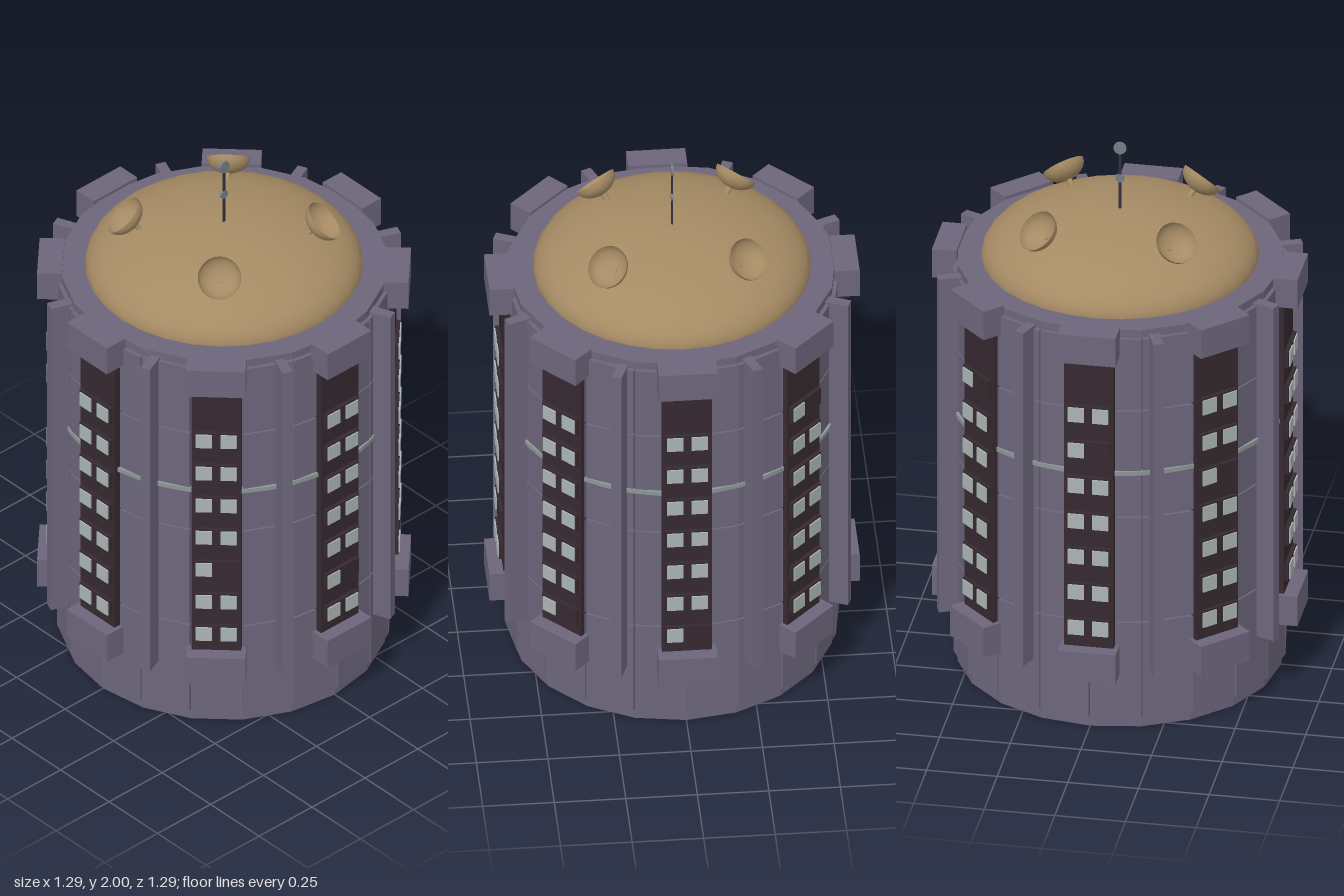
import * as THREE from 'three';
import { toCreasedNormals } from 'three/addons/utils/BufferGeometryUtils.js';

const material = (name, color, side = THREE.FrontSide) => {
  const m = new THREE.MeshStandardMaterial({ color, side });
  m.name = name;
  return m;
};

export function createModel() {
  const model = new THREE.Group();
  model.name = 'roundTower';

  const wall = material('mauve wall', 0x6d667c);
  const dark = material('dark recess', 0x35292f);
  const glass = material('pale glass', 0xaab5b4);
  const bronze = material('bronze', 0xa68b64, THREE.DoubleSide);
  const trim = material('grey trim', 0x8b9694);
  const mastColor = material('dark mast', 0x2f323e);
  const discColor = material('disc grey', 0x747c86);

  const add = (parent, name, geometry, mat, x = 0, y = 0, z = 0) => {
    const mesh = new THREE.Mesh(geometry, mat);
    mesh.name = name;
    mesh.position.set(x, y, z);
    parent.add(mesh);
    return mesh;
  };

  // Box reaching from radius r0 to r1 along local +z, and from y0 to y1
  const block = (parent, name, mat, x, width, y0, y1, r0, r1) =>
    add(parent, name, new THREE.BoxGeometry(width, y1 - y0, r1 - r0), mat, x, (y0 + y1) / 2, (r0 + r1) / 2);

  const sector = (name, angle) => {
    const g = new THREE.Group();
    g.name = name;
    g.rotation.y = angle;
    model.add(g);
    return g;
  };

  const drum = (r, h, sides, open = false) =>
    toCreasedNormals(new THREE.CylinderGeometry(r, r, h, sides, 1, open), 0.2);

  // Core drum, its top forming the roof ledge
  add(model, 'core', drum(0.571, 1.56, 20), wall, 0, 0.78, 0);

  // Light band round the middle
  add(model, 'middleBand', drum(0.589, 0.016, 40), trim, 0, 1.005, 0);

  // Wall panels, twenty round, separated by narrow seams
  const rows = [[0.04, 0.414], [0.42, 0.827], [0.833, 1.247], [1.253, 1.53]];
  for (let i = 0; i < 20; i++) {
    const g = sector('panelColumn', (i + 0.5) * Math.PI / 10);
    for (const [y0, y1] of rows) block(g, 'wallPanel', wall, 0, 0.177, y0, y1, 0.54, 0.578);
  }

  // Eight window bays and eight fins; darkRow is the row with only one window
  const darkRows = [1, 0, 0, 6, 5, 4, -1, 2];
  darkRows.forEach((darkRow, i) => {
    const bay = sector('windowBay', i * Math.PI / 4);
    block(bay, 'recessStrip', dark, 0, 0.175, 0.3, 1.48, 0.56, 0.597);
    block(bay, 'lowerCap', wall, 0, 0.206, 0.21, 0.325, 0.54, 0.647);
    block(bay, 'upperCap', wall, 0, 0.206, 1.46, 1.572, 0.56, 0.647);
    for (let row = 0; row < 7; row++) {
      const y = 0.405 + row * 0.1395;
      block(bay, 'windowFrame', dark, 0, 0.155, y - 0.034, y + 0.034, 0.59, 0.611);
      for (const x of row === darkRow ? [-0.043] : [-0.043, 0.043])
        block(bay, 'window', glass, x, 0.057, y - 0.028, y + 0.028, 0.609, 0.616);
    }
    const finSector = sector('finSector', (i + 0.5) * Math.PI / 4);
    block(finSector, 'fin', wall, 0, 0.037, 0.23, 1.54, 0.55, 0.648);
  });

  // Shallow dome
  const dome = new THREE.SphereGeometry(0.485, 32, 12, 0, Math.PI * 2, 0, Math.PI / 2);
  dome.scale(1, 0.185 / 0.485, 1);
  add(model, 'dome', dome, bronze, 0, 1.557, 0);

  // Four bowl dishes tilted outward on short stems
  const bowlProfile = [];
  for (let i = 0; i <= 6; i++) {
    const a = (i / 6) * Math.PI / 2;
    bowlProfile.push(new THREE.Vector2(0.076 * Math.sin(a), -0.055 * Math.cos(a)));
  }
  const bowl = new THREE.LatheGeometry(bowlProfile, 24);
  const stem = new THREE.CylinderGeometry(0.01, 0.01, 0.04, 8);
  for (let i = 0; i < 4; i++) {
    const g = sector('dishSector', (i + 0.5) * Math.PI / 2);
    const dish = new THREE.Group();
    dish.name = 'dish';
    dish.position.set(0, 1.757, 0.35);
    dish.rotation.x = Math.PI / 4;
    g.add(dish);
    add(dish, 'dishBowl', bowl, bronze);
    add(dish, 'dishStem', stem, bronze, 0, -0.07, 0);
  }

  // Mast with two flat discs
  add(model, 'mast', new THREE.BoxGeometry(0.009, 0.28, 0.005), mastColor, 0, 1.86, 0);
  for (const [y, r] of [[1.978, 0.023], [1.86, 0.016]]) {
    const disc = add(model, 'mastDisc', new THREE.CylinderGeometry(r, r, 0.008, 16), discColor, 0, y, 0);
    disc.rotation.x = Math.PI / 2;
  }

  return model;
}
